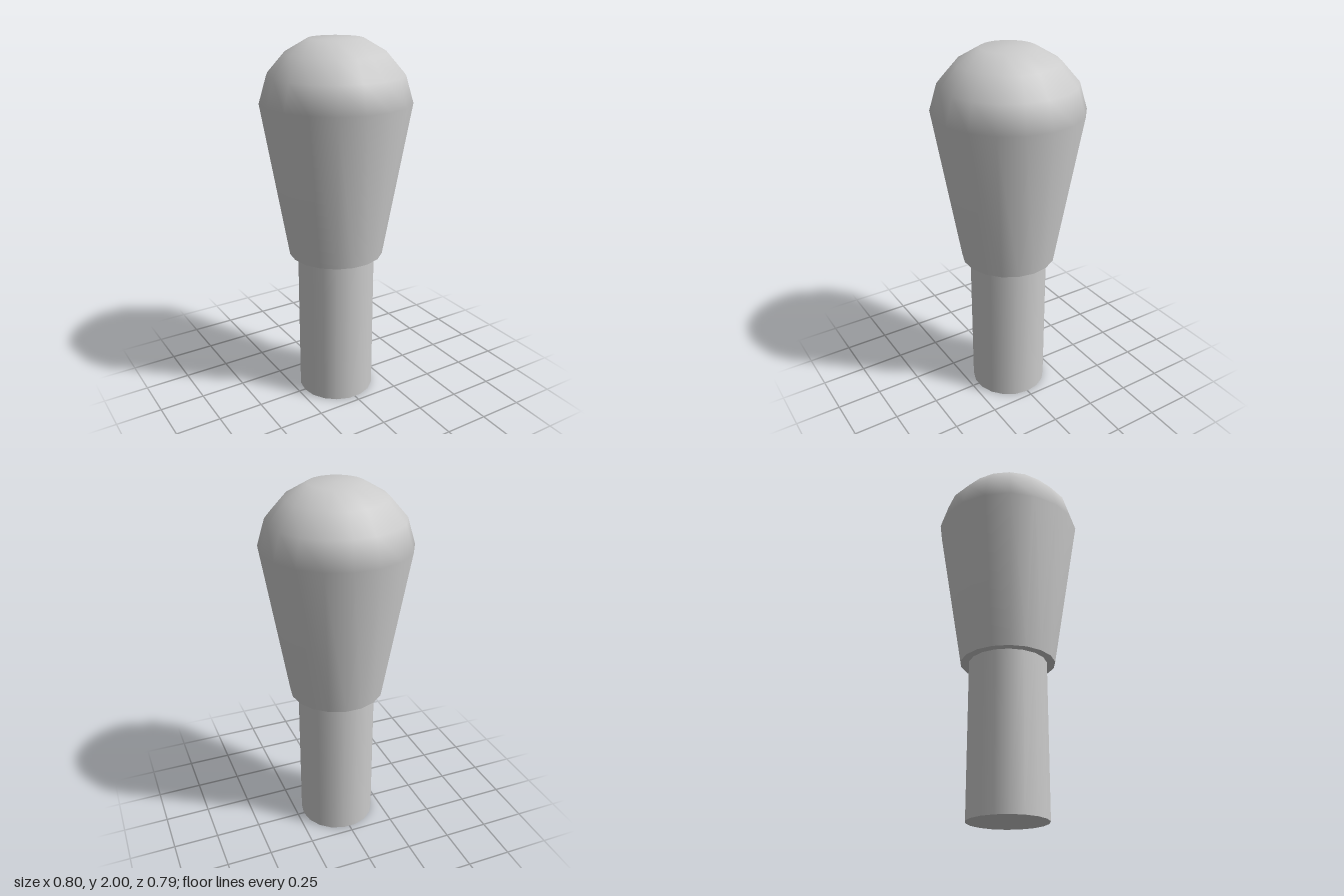
import * as THREE from 'three';

const SIDES = 18;

export function createModel() {
  const group = new THREE.Group();
  const material = new THREE.MeshStandardMaterial({ color: 0xcccccc });

  const add = (name, geometry) => {
    const mesh = new THREE.Mesh(geometry, material);
    mesh.name = name;
    group.add(mesh);
    return mesh;
  };

  // Turned part from [radius, height] pairs, with a corner on the x axis
  const lathe = (profile) => new THREE.LatheGeometry(
    profile.map(([r, y]) => new THREE.Vector2(r, y)), SIDES, Math.PI / 2);

  // Straight round shaft with a closed bottom
  add('shaft', new THREE.CylinderGeometry(0.213, 0.213, 0.85, SIDES, 1, false, Math.PI / 2))
    .position.y = 0.425;

  // Tapered grip running smoothly into a domed top
  add('head', lathe([
    [0.258, 0.842], [0.4, 1.683], [0.358, 1.823], [0.264, 1.93], [0.143, 2], [0, 2],
  ]));

  // Flat underside of the head, kept separate for a sharp rim
  add('headUnderside', lathe([[0.2, 0.842], [0.258, 0.842]]));

  return group;
}
